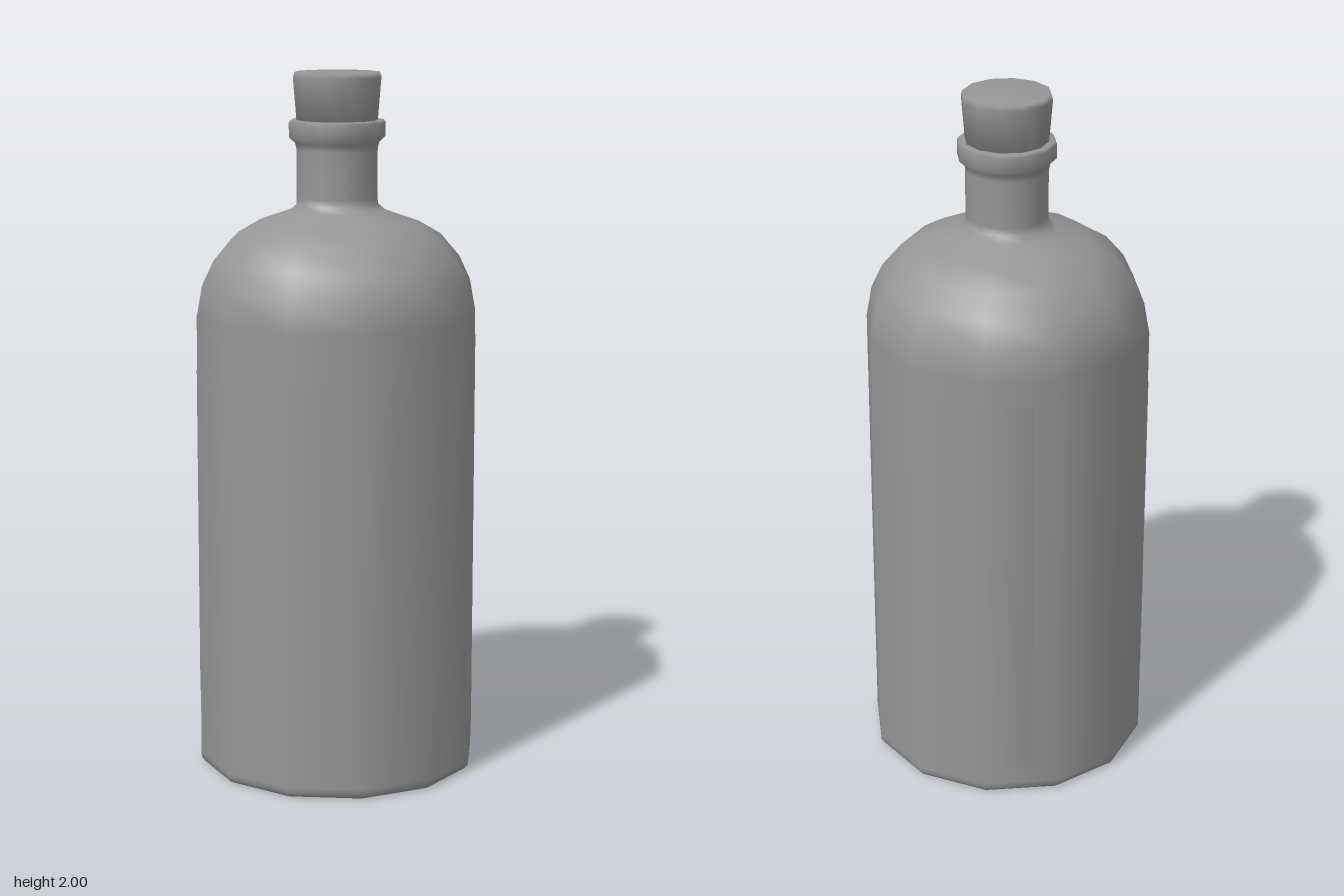
import * as THREE from 'three';

const SIDES = 12;
const BODY_R = 0.4035;
const LABEL_R = 0.405;
const GREY = 0x969696;

// Smooth turned part from a profile of [radius, height]
function turned(name, profile, material) {
  const points = profile.map(([r, y]) => new THREE.Vector2(r, y));
  const mesh = new THREE.Mesh(new THREE.LatheGeometry(points, SIDES), material);
  mesh.name = name;
  return mesh;
}

// Paper label wrapped over four bottle facets; trim cuts the end facets short (0 to 1)
function label(name, y0, y1, trim, material) {
  const points = [new THREE.Vector2(LABEL_R, y0), new THREE.Vector2(LABEL_R, y1)];
  const geometry = new THREE.LatheGeometry(points, 4, -Math.PI / 3, Math.PI * 2 / 3);
  const position = geometry.attributes.position;
  const end = new THREE.Vector3();
  const inner = new THREE.Vector3();
  for (const [from, to] of [[0, 2], [1, 3], [8, 6], [9, 7]]) {
    end.fromBufferAttribute(position, from);
    inner.fromBufferAttribute(position, to);
    end.lerp(inner, trim);
    position.setXYZ(from, end.x, end.y, end.z);
  }
  const mesh = new THREE.Mesh(geometry, material);
  mesh.name = name;
  return mesh;
}

export function createModel() {
  const group = new THREE.Group();
  group.name = 'bottle';
  const glass = new THREE.MeshStandardMaterial({ color: GREY });
  const paper = new THREE.MeshStandardMaterial({ color: GREY, side: THREE.DoubleSide });

  // Body, rounded shoulder, neck and lip in one profile
  group.add(turned('bottleBody', [
    [0, 0], [0.36, 0], [0.394, 0.002], [BODY_R, 0.015], [BODY_R, 0.03],
    [BODY_R, 1.317], [0.387, 1.407], [0.355, 1.475], [0.3, 1.54], [0.235, 1.578],
    [0.138, 1.612], [0.117, 1.63], [0.116, 1.65],
    [0.116, 1.783], [0.12, 1.803], [0.138, 1.82],
    [0.138, 1.86], [0.133, 1.867], [0.1, 1.867],
  ], glass));

  // Tapered stopper with a softened top edge
  group.add(turned('stopper', [
    [0, 1.84], [0.114, 1.84], [0.126, 1.985], [0.122, 2], [0, 2],
  ], glass));

  // Front and back labels
  group.add(label('frontLabel', 0.22, 1.165, 0, paper));
  const back = label('backLabel', 0.08, 1.245, 1 / 3, paper);
  back.rotation.y = Math.PI;
  group.add(back);

  return group;
}
